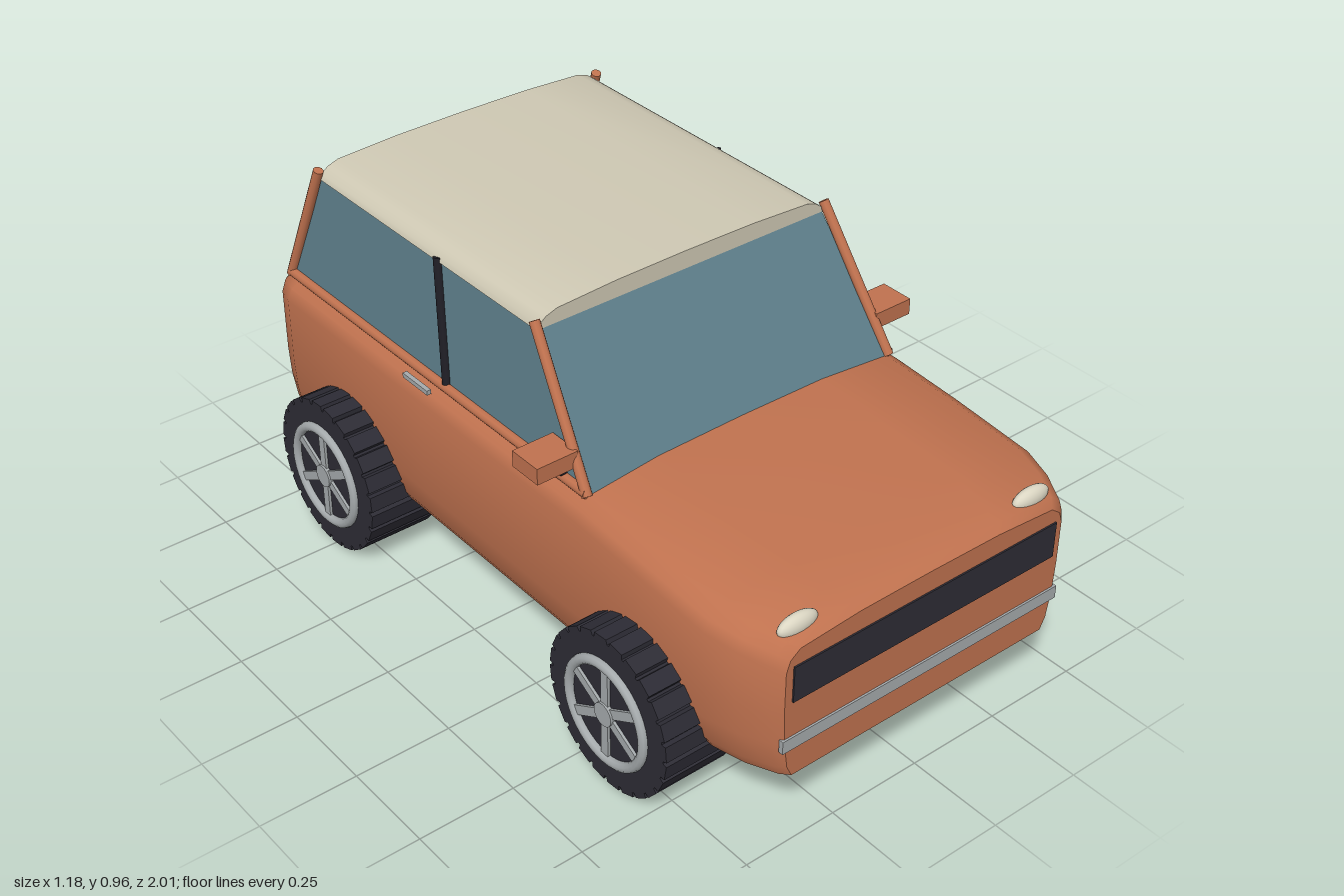
import * as THREE from 'three';
import { toCreasedNormals } from 'three/addons/utils/BufferGeometryUtils.js';

const mat = (name, color, side = THREE.FrontSide) => {
  const m = new THREE.MeshStandardMaterial({ color, side });
  m.name = name;
  return m;
};

export function createModel() {
  const paint = mat('orangePaint', 0xc0724f);
  const cream = mat('creamRoof', 0xcfc9b4);
  const glass = mat('glass', 0x5e7e8a, THREE.DoubleSide);
  const rubber = mat('rubber', 0x2d2c35);
  const black = mat('blackTrim', 0x1e1d24);
  const silver = mat('silver', 0xa6abad);
  const lens = mat('lens', 0xdcd7c4);

  const car = new THREE.Group();
  car.name = 'offRoadCar';
  const add = (name, geo, material, x = 0, y = 0, z = 0, parent = car) => {
    const m = new THREE.Mesh(geo, material);
    m.name = name;
    m.position.set(x, y, z);
    parent.add(m);
    return m;
  };
  const box = (name, w, h, d, material, x, y, z, parent) =>
    add(name, new THREE.BoxGeometry(w, h, d), material, x, y, z, parent);
  // Round bar between two points
  const bar = (name, a, b, r, material) => {
    const p = new THREE.Vector3(...a), q = new THREE.Vector3(...b);
    const d = q.clone().sub(p);
    const m = add(name, new THREE.CylinderGeometry(r, r, d.length(), 10), material);
    m.position.copy(p).add(q).multiplyScalar(0.5);
    m.quaternion.setFromUnitVectors(new THREE.Vector3(0, 1, 0), d.normalize());
    return m;
  };

  // Body: rounded cross-sections lofted from nose to tail [z, half width, shoulder height]
  const stations = [
    [1.0, 0.41, 0.535], [0.98, 0.43, 0.548], [0.91, 0.465, 0.562], [0.83, 0.487, 0.573],
    [0.6, 0.49, 0.592], [0.4, 0.49, 0.605], [-0.2, 0.49, 0.605], [-0.78, 0.49, 0.603],
    [-0.85, 0.465, 0.59], [-0.885, 0.44, 0.572], [-0.9, 0.42, 0.56],
  ];
  const floorY = 0.19;
  const section = (w, top) => {
    const half = [
      [0.93 * w, floorY], [0.965 * w, floorY + 0.03], [0.99 * w, floorY + 0.1], [w, floorY + 0.18],
      [w, top - 0.05], [0.975 * w, top - 0.02], [0.91 * w, top], [0.5 * w, top + 0.012],
    ];
    return [[0, floorY], ...half, [0, top + 0.014], ...half.map(([x, y]) => [-x, y]).reverse()];
  };
  const pos = [], idx = [];
  stations.forEach(([z, w, top]) => section(w, top).forEach(([x, y]) => pos.push(x, y, z)));
  const n = section(1, 1).length, last = (stations.length - 1) * n;
  for (let s = 0; s < stations.length - 1; s++) {
    for (let j = 0; j < n; j++) {
      const a = s * n + j, b = s * n + (j + 1) % n;
      idx.push(a, a + n, b, b, a + n, b + n);
    }
  }
  for (let j = 1; j < n - 1; j++) {
    idx.push(0, j, j + 1);
    idx.push(last, last + j + 1, last + j);
  }
  const bodyGeo = new THREE.BufferGeometry();
  bodyGeo.setAttribute('position', new THREE.Float32BufferAttribute(pos, 3));
  bodyGeo.setIndex(idx);
  add('body', toCreasedNormals(bodyGeo, 0.7), paint);
  box('underfloor', 0.66, 0.035, 1.61, rubber, 0, 0.1775, 0.055);

  // Cabin windows
  const quad = (name, a, b, c, d) => {
    const g = new THREE.BufferGeometry();
    g.setAttribute('position', new THREE.Float32BufferAttribute([...a, ...b, ...c, ...d], 3));
    g.setIndex([0, 1, 2, 0, 2, 3]);
    g.computeVertexNormals();
    add(name, g, glass);
  };
  const yb = 0.605, yt = 0.925;
  const FB = s => [0.45 * s, yb, 0.395], FT = s => [0.413 * s, yt, 0.175];
  const RB = s => [0.45 * s, yb, -0.82], RT = s => [0.413 * s, yt, -0.69];
  quad('windscreen', FB(-1), FB(1), FT(1), FT(-1));
  quad('rearWindow', RB(1), RB(-1), RT(-1), RT(1));
  quad('leftWindows', FB(1), RB(1), RT(1), FT(1));
  quad('rightWindows', RB(-1), FB(-1), FT(-1), RT(-1));

  // Domed roof panel
  const edge = [[0.42, 0.912], [0.415, 0.925], [0.395, 0.94], [0.365, 0.95], [0.2, 0.958]];
  const roofShape = new THREE.Shape(
    [...edge, [0, 0.96], ...edge.map(([x, y]) => [-x, y]).reverse()].map(p => new THREE.Vector2(...p)));
  const roofGeo = new THREE.ExtrudeGeometry(roofShape, { depth: 0.875, bevelEnabled: false });
  add('roof', toCreasedNormals(roofGeo, 0.7), cream, 0, 0, -0.692);

  for (const s of [1, -1]) {
    const side = s > 0 ? 'left' : 'right';
    // Pillars and belt rail
    bar(side + 'FrontPillar', [0.452 * s, 0.605, 0.395], [0.423 * s, 0.938, 0.178], 0.013, paint);
    bar(side + 'RearPillar', [0.452 * s, 0.605, -0.815], [0.423 * s, 0.938, -0.69], 0.013, paint);
    bar(side + 'BeltRail', [0.452 * s, 0.612, 0.395], [0.452 * s, 0.612, -0.815], 0.013, paint);
    bar(side + 'DoorPillar', [0.449 * s, 0.62, -0.138], [0.415 * s, 0.92, -0.2], 0.012, black);
    // Mirror and handle
    box(side + 'Mirror', 0.11, 0.042, 0.09, paint, 0.5 * s, 0.68, 0.31);
    bar(side + 'MirrorStalk', [0.45 * s, 0.62, 0.31], [0.495 * s, 0.67, 0.31], 0.011, black);
    box(side + 'DoorHandle', 0.012, 0.012, 0.1, silver, 0.486 * s, 0.6, -0.21);
    // Lights and rear panels
    const lamp = add(side + 'Headlight', new THREE.SphereGeometry(1, 20, 12), lens, 0.345 * s, 0.558, 0.957);
    lamp.scale.set(0.055, 0.027, 0.02);
    box(side + 'RearPanel', 0.2, 0.06, 0.024, paint, 0.27 * s, 0.5, -0.904);
    add(side + 'ReverseLamp', new THREE.SphereGeometry(0.02, 14, 10), lens, 0.22 * s, 0.237, -0.897);
  }

  // Grille and bumper strips
  box('grille', 0.78, 0.095, 0.008, rubber, 0, 0.447, 1.0);
  box('frontBumper', 0.83, 0.034, 0.012, silver, 0, 0.287, 0.999);
  box('rearBumper', 0.83, 0.034, 0.016, silver, 0, 0.272, -0.902);

  // Tyre with tread lugs, axis along z
  const lugs = 24, outline = [];
  for (let i = 0; i < lugs; i++) {
    [[0, 0.205], [0.76, 0.205], [0.82, 0.193], [0.94, 0.193]].forEach(([f, r]) => {
      const t = ((i + f) / lugs) * Math.PI * 2;
      outline.push(new THREE.Vector2(Math.cos(t) * r, Math.sin(t) * r));
    });
  }
  const tyreGeo = toCreasedNormals(new THREE.ExtrudeGeometry(new THREE.Shape(outline),
    { depth: 0.195, bevelEnabled: false }), 0.3);
  const rimGeo = new THREE.TorusGeometry(0.13, 0.013, 10, 40);
  const spokeGeo = new THREE.BoxGeometry(0.024, 0.25, 0.014);
  const hubGeo = new THREE.CylinderGeometry(0.03, 0.03, 0.02, 18).rotateX(Math.PI / 2);
  for (const s of [1, -1]) {
    for (const [end, z] of [['front', 0.615], ['rear', -0.515]]) {
      const wheel = new THREE.Group();
      wheel.name = end + (s > 0 ? 'Left' : 'Right') + 'Wheel';
      wheel.position.set(0.38 * s, 0.205, z);
      wheel.rotation.y = s * Math.PI / 2;
      add('tyre', tyreGeo, rubber, 0, 0, 0, wheel);
      add('rim', rimGeo, silver, 0, 0, 0.197, wheel);
      add('hub', hubGeo, silver, 0, 0, 0.197, wheel);
      for (let k = 0; k < 3; k++) {
        add('spoke', spokeGeo, silver, 0, 0, 0.195, wheel).rotation.z = k * Math.PI / 3;
      }
      car.add(wheel);
    }
  }

  // Spare wheel on the tail
  const spareProfile = [[0, -0.06], [0.19, -0.06], [0.203, -0.045], [0.203, 0.04], [0.185, 0.058], [0, 0.058]]
    .map(p => new THREE.Vector2(...p));
  const spareGeo = toCreasedNormals(new THREE.LatheGeometry(spareProfile, 40), 0.5).rotateX(-Math.PI / 2);
  add('spareTyre', spareGeo, rubber, 0.12, 0.507, -0.94);
  add('spareHub', new THREE.CylinderGeometry(0.112, 0.112, 0.008, 32).rotateX(Math.PI / 2), silver, 0.12, 0.507, -0.998);

  return car;
}
